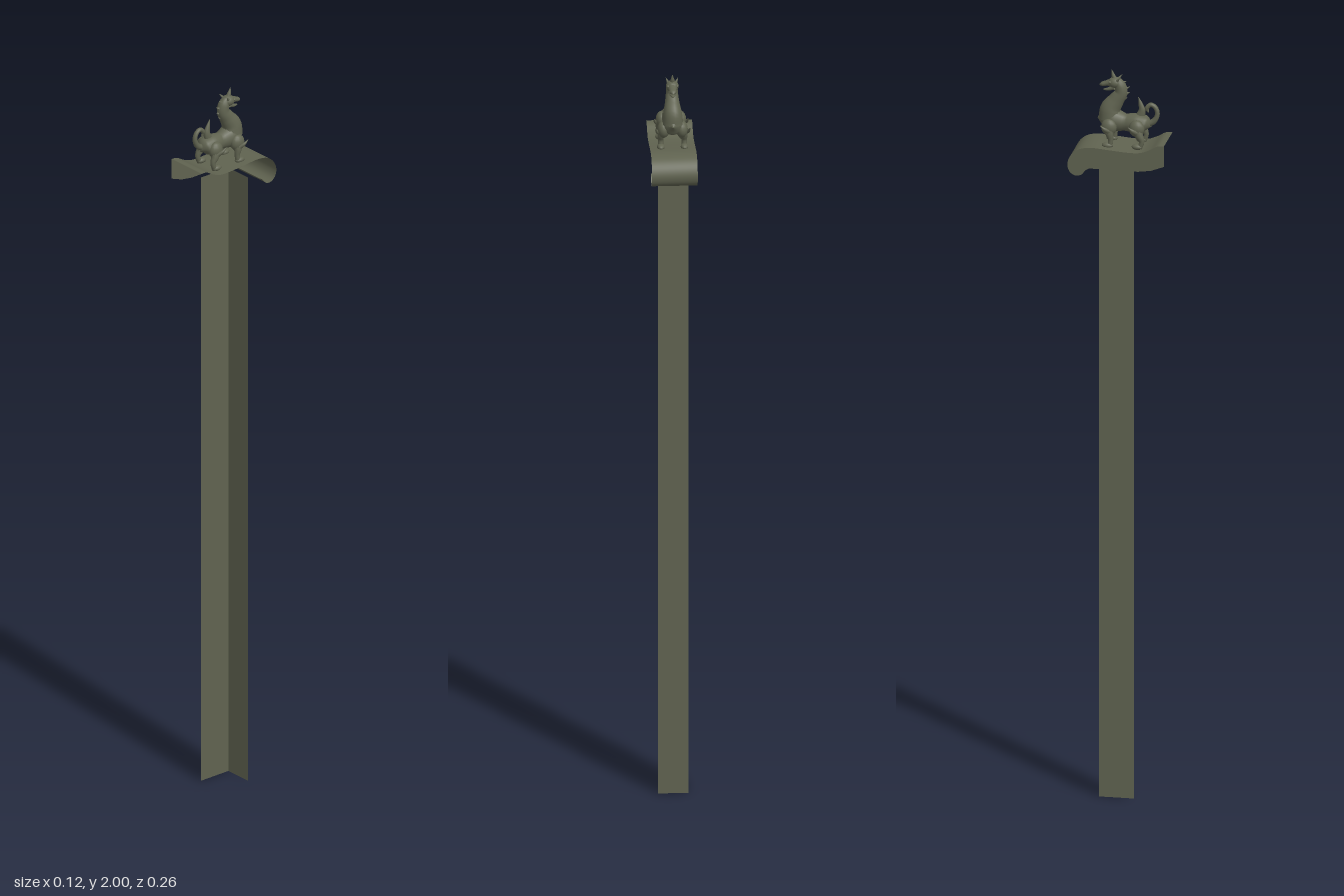
import * as THREE from 'three';

const stone = new THREE.MeshStandardMaterial({ color: 0x606350, side: THREE.DoubleSide });
stone.name = 'weathered stone';

function add(parent, name, geometry) {
  const mesh = new THREE.Mesh(geometry, stone);
  mesh.name = name;
  parent.add(mesh);
  return mesh;
}

// Sweeps an oval along stations [x, y, z, half width, half depth]
function loft(stations, rings = 20, sides = 12) {
  const curve = new THREE.CatmullRomCurve3(stations.map((s) => new THREE.Vector3(s[0], s[1], s[2])));
  const last = stations.length - 1;
  const pos = [], index = [];
  const p = new THREE.Vector3(), t = new THREE.Vector3(), up = new THREE.Vector3();
  const xAxis = new THREE.Vector3(1, 0, 0);
  for (let i = 0; i <= rings; i++) {
    const u = i / rings;
    const k = Math.min(Math.floor(u * last), last - 1);
    const f = u * last - k;
    const mix = (c) => THREE.MathUtils.lerp(stations[k][c], stations[k + 1][c], f);
    curve.getPoint(u, p);
    curve.getTangent(u, t);
    up.crossVectors(t, xAxis).normalize();
    for (let j = 0; j < sides; j++) {
      const a = (j / sides) * Math.PI * 2;
      const w = Math.cos(a) * mix(3), d = Math.sin(a) * mix(4);
      pos.push(p.x + w, p.y + up.y * d, p.z + up.z * d);
      if (i < rings) {
        const n = (j + 1) % sides;
        const A = i * sides + j, B = i * sides + n;
        index.push(A, B, A + sides, B, B + sides, A + sides);
      }
    }
  }
  const g = new THREE.BufferGeometry();
  g.setAttribute('position', new THREE.Float32BufferAttribute(pos, 3));
  g.setIndex(index);
  g.computeVertexNormals();
  return g;
}

function blob(parent, name, position, radii) {
  const mesh = add(parent, name, new THREE.SphereGeometry(1, 16, 10));
  mesh.position.set(...position);
  mesh.scale.set(...radii);
  return mesh;
}

// Open post made of two meeting walls
function makePost() {
  const post = new THREE.Group();
  post.name = 'post';
  const back = add(post, 'postBackWall', new THREE.PlaneGeometry(0.08, 1.745));
  back.rotation.y = Math.PI;
  back.position.set(0, 0.8725, -0.048);
  const side = add(post, 'postSideWall', new THREE.PlaneGeometry(0.094, 1.745));
  side.rotation.y = -Math.PI / 2;
  side.position.set(-0.04, 0.8725, -0.001);
  return post;
}

// Scrolled capital: a curved sheet over one profile wall
function makeCapital() {
  const cap = new THREE.Group();
  cap.name = 'capital';
  const top = [
    [0.13, 1.817], [0.112, 1.815], [0.09, 1.803], [0.065, 1.794], [0.03, 1.793], [-0.02, 1.797],
    [-0.07, 1.8], [-0.1, 1.793], [-0.12, 1.775], [-0.128, 1.752], [-0.122, 1.731],
    [-0.106, 1.721], [-0.09, 1.725], [-0.08, 1.737], [-0.07, 1.743],
  ];
  const curve = new THREE.CatmullRomCurve3(top.map(([z, y]) => new THREE.Vector3(0, y, z)));
  const points = curve.getPoints(56);

  const sheet = new THREE.PlaneGeometry(0.12, 1, 1, 56);
  const pos = sheet.attributes.position;
  for (let i = 0; i < pos.count; i++) {
    // back edge first so the outer side faces up
    const q = points[56 - Math.floor(i / 2)];
    pos.setXYZ(i, pos.getX(i), q.y, q.z);
  }
  sheet.computeVertexNormals();
  add(cap, 'capitalTop', sheet);

  const outline = points.map((q) => new THREE.Vector2(-q.z, q.y));
  outline.push(new THREE.Vector2(-0.06, 1.742), new THREE.Vector2(-0.095, 1.747), new THREE.Vector2(-0.13, 1.76));
  const wall = add(cap, 'capitalSide', new THREE.ShapeGeometry(new THREE.Shape(outline)));
  wall.rotation.y = Math.PI / 2;
  wall.position.x = -0.06;
  return cap;
}

// Guardian beast looking towards -z
function makeBeast() {
  const beast = new THREE.Group();
  beast.name = 'guardianBeast';

  add(beast, 'body', loft([
    [0, 1.85, 0.085, 0.002, 0.002], [0, 1.855, 0.07, 0.026, 0.022], [0, 1.857, 0.045, 0.028, 0.026],
    [0, 1.857, 0.015, 0.021, 0.023], [0, 1.862, -0.015, 0.029, 0.032], [0, 1.866, -0.04, 0.024, 0.027],
    [0, 1.866, -0.058, 0.002, 0.002],
  ], 28, 16));
  add(beast, 'neck', loft([
    [0, 1.865, -0.025, 0.028, 0.03], [0, 1.892, -0.024, 0.025, 0.028], [0, 1.918, -0.008, 0.019, 0.021],
    [0, 1.938, 0.004, 0.016, 0.017], [0, 1.957, 0.002, 0.015, 0.015], [0, 1.97, -0.008, 0.012, 0.012],
  ], 26, 14));

  // Head, muzzle, jaw and crest
  blob(beast, 'head', [0, 1.965, -0.012], [0.017, 0.015, 0.019]);
  add(beast, 'muzzle', loft([
    [0, 1.966, -0.018, 0.014, 0.011], [0, 1.962, -0.035, 0.01, 0.007],
    [0, 1.959, -0.046, 0.009, 0.006], [0, 1.956, -0.053, 0.002, 0.002],
  ], 10));
  add(beast, 'jaw', loft([
    [0, 1.952, -0.014, 0.011, 0.007], [0, 1.946, -0.03, 0.008, 0.004], [0, 1.944, -0.043, 0.002, 0.002],
  ], 8));
  add(beast, 'crest', loft([
    [0, 1.972, -0.012, 0.007, 0.007], [0, 1.985, -0.017, 0.005, 0.005], [0, 2, -0.021, 0.0005, 0.0005],
  ], 8, 8));
  for (let i = 0; i < 4; i++) {
    const spike = add(beast, 'maneSpike', new THREE.ConeGeometry(0.006, 0.016, 6));
    spike.position.set(0, 1.967 - i * 0.015, [0.012, 0.021, 0.021, 0.015][i]);
    spike.rotation.x = 1.1;
  }

  // Curled tail with an upright tuft
  add(beast, 'tail', loft([
    [0, 1.855, 0.074, 0.009, 0.009], [0, 1.865, 0.092, 0.008, 0.008], [0, 1.885, 0.101, 0.007, 0.006],
    [0, 1.903, 0.095, 0.006, 0.006], [0, 1.909, 0.083, 0.006, 0.006], [0, 1.899, 0.073, 0.006, 0.006],
    [0, 1.888, 0.077, 0.002, 0.002],
  ], 28, 10));
  add(beast, 'tailTuft', loft([
    [0, 1.875, 0.055, 0.009, 0.013], [0, 1.893, 0.06, 0.008, 0.009],
    [0, 1.91, 0.056, 0.005, 0.006], [0, 1.929, 0.05, 0.0005, 0.0005],
  ], 14, 8));

  // Two mirrored pairs of legs
  for (const s of [-1, 1]) {
    for (const [name, z, back] of [['front', -0.024, 0.006], ['rear', 0.05, 0.015]]) {
      blob(beast, name + 'Thigh', [s * 0.024, 1.849, z], [0.016, 0.023, 0.021]);
      add(beast, name + 'Leg', loft([
        [s * 0.026, 1.85, z, 0.012, 0.015], [s * 0.03, 1.832, z + back * 0.5, 0.01, 0.011],
        [s * 0.031, 1.817, z + back, 0.007, 0.007], [s * 0.031, 1.797, z + back * 0.6, 0.007, 0.007],
      ], 12, 10));
      blob(beast, name + 'Paw', [s * 0.031, 1.801, z - 0.006 + back * 0.6], [0.01, 0.008, 0.015]);
      add(beast, name + 'LegTuft', loft([
        [s * 0.034, 1.838, z + 0.004, 0.006, 0.007], [s * 0.042, 1.847, z - 0.008, 0.004, 0.005],
        [s * 0.045, 1.858, z - 0.02, 0.0005, 0.0005],
      ], 8, 8));
    }
    const ear = add(beast, 'ear', new THREE.ConeGeometry(0.005, 0.018, 6));
    ear.position.set(s * 0.013, 1.977, -0.001);
    ear.rotation.set(0.7, 0, -s * 0.4);
    blob(beast, 'eye', [s * 0.012, 1.968, -0.024], [0.004, 0.004, 0.004]);
  }
  return beast;
}

export function createModel() {
  const model = new THREE.Group();
  model.name = 'beastTopPillar';
  model.add(makePost(), makeCapital(), makeBeast());
  return model;
}
